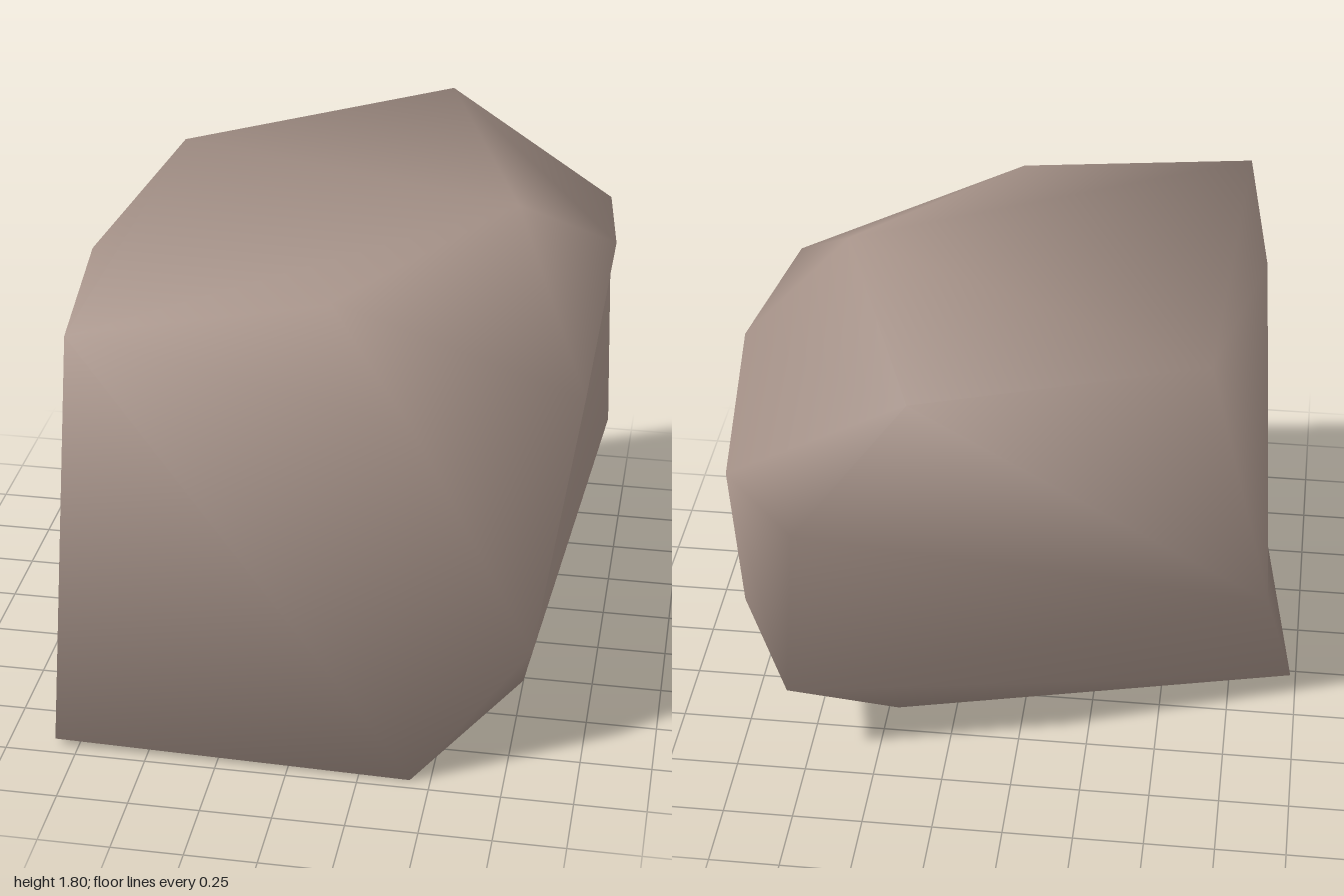
import * as THREE from 'three';
import { ConvexGeometry } from 'three/addons/geometries/ConvexGeometry.js';
import { mergeVertices } from 'three/addons/utils/BufferGeometryUtils.js';

// Corners of the boulder: x, y, z and an optional shift in x and y. The shift is used
// only while the skin is stretched, so that a few edges can end up slightly hollow.
const CORNERS = [
  // top
  [0.29, 1.80, -1.00], [0.65, 1.78, 0.03], [-0.65, 1.71, -0.54],
  [0.12, 1.70, 0.75], [-0.71, 1.635, 1.00], [-0.80, 1.62, 0.28],
  // shoulders
  [0.975, 1.54, -0.25], [0.91, 1.43, -0.92, 0.07, -0.05], [0.69, 1.25, -1.00],
  [0.40, 1.37, 0.91], [0.95, 1.36, 0.63, -0.03],
  // waist
  [0.96, 0.65, -0.60, -0.05], [0.82, 0.46, 0.79, 0.08], [0.80, 0.36, -0.74],
  [-0.88, 0.55, -0.28, -0.04],
  // foot
  [0.75, 0.00, 0.27], [0.43, 0.004, 0.96], [-0.83, 0.03, 0.96],
  [-0.98, 0.03, -0.06, 0.08], [0.46, 0.03, -0.41],
];

// Smooth normals in which each face counts by its angle at the corner
function smoothByAngle(geometry) {
  const { position } = geometry.attributes;
  const index = geometry.index.array;
  const normals = Array.from({ length: position.count }, () => new THREE.Vector3());
  const corner = (i) => new THREE.Vector3().fromBufferAttribute(position, i);
  for (let f = 0; f < index.length; f += 3) {
    for (let k = 0; k < 3; k++) {
      const a = corner(index[f + k]);
      const ab = corner(index[f + (k + 1) % 3]).sub(a);
      const ac = corner(index[f + (k + 2) % 3]).sub(a);
      const angle = ab.angleTo(ac);
      normals[index[f + k]].addScaledVector(ab.cross(ac).normalize(), angle);
    }
  }
  const values = normals.flatMap((n) => n.normalize().toArray());
  geometry.setAttribute('normal', new THREE.Float32BufferAttribute(values, 3));
}

function boulderGeometry() {
  const stretched = CORNERS.map(([x, y, z, dx = 0, dy = 0]) => new THREE.Vector3(x + dx, y + dy, z));
  const hull = new ConvexGeometry(stretched);
  hull.deleteAttribute('normal');
  const geometry = mergeVertices(hull, 1e-4);

  // Put each shifted corner back in its place
  const position = geometry.attributes.position;
  const v = new THREE.Vector3();
  for (let i = 0; i < position.count; i++) {
    v.fromBufferAttribute(position, i);
    const [x, y, z] = CORNERS[stretched.findIndex((p) => p.distanceTo(v) < 1e-3)];
    position.setXYZ(i, x, y, z);
  }
  smoothByAngle(geometry);
  return geometry;
}

export function createModel() {
  const group = new THREE.Group();
  group.name = 'rock';
  const stone = new THREE.MeshStandardMaterial({ color: 0xa9958b });
  stone.name = 'stone';
  const boulder = new THREE.Mesh(boulderGeometry(), stone);
  boulder.name = 'boulder';
  group.add(boulder);
  return group;
}
